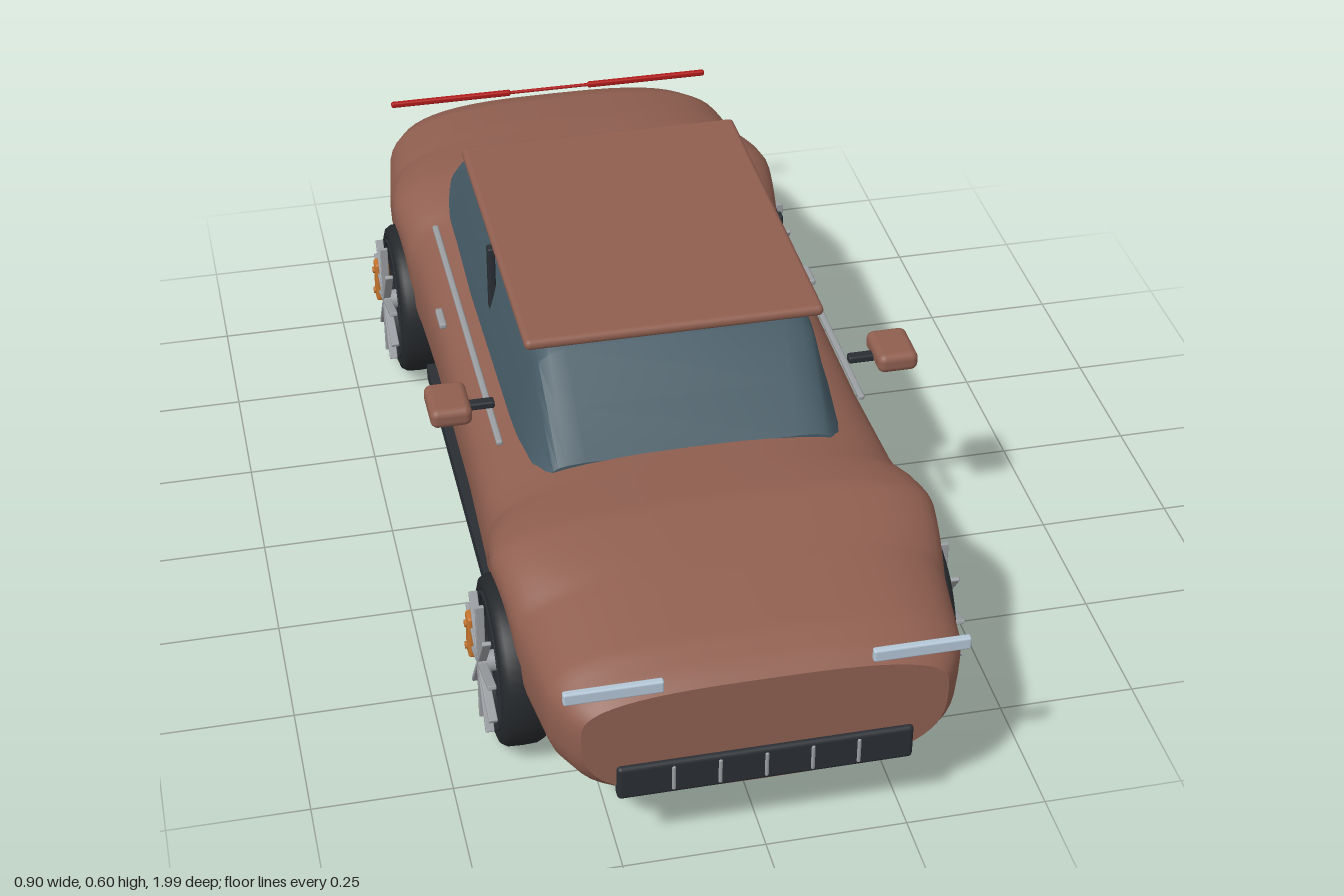
import * as THREE from 'three';
import { toCreasedNormals } from 'three/addons/utils/BufferGeometryUtils.js';
import { RoundedBoxGeometry } from 'three/addons/geometries/RoundedBoxGeometry.js';

const mat = (color, side = THREE.FrontSide) => new THREE.MeshStandardMaterial({ color, side });
const PAINT = mat(0x8f5f50), GLASS = mat(0x465b66), DARK = mat(0x2a2e33), TYRE = mat(0x25282b);
const CHROME = mat(0x9a9da1), LAMP = mat(0xb4c6d6), RED = mat(0xb01a1a), ORANGE = mat(0xc4732c);

const WHEEL_R = 0.155, AXLES = [0.605, -0.585];

function add(parent, name, geometry, material, x = 0, y = 0, z = 0) {
  const mesh = new THREE.Mesh(geometry, material);
  mesh.name = name;
  mesh.position.set(x, y, z);
  parent.add(mesh);
  return mesh;
}

const box = (w, h, d, r = 0.004) => new RoundedBoxGeometry(w, h, d, 3, Math.min(r, w / 2.01, h / 2.01, d / 2.01));

// Linear lookup of column k in rows sorted by falling z
function lookup(rows, z, k) {
  let i = 0;
  while (i < rows.length - 2 && z < rows[i + 1][0]) i++;
  const a = rows[i], b = rows[i + 1];
  return THREE.MathUtils.mapLinear(z, a[0], b[0], a[k], b[k]);
}

// Skin over closed rings (counter-clockwise seen from +z, z falling), ends capped
function loft(rings, crease) {
  const n = rings[0].length, pos = [], index = [];
  const collapse = (ring) => {
    const c = ring.reduce((s, p) => s.add(p), new THREE.Vector3()).divideScalar(n);
    return ring.map(() => c);
  };
  const all = [collapse(rings[0]), ...rings, collapse(rings[rings.length - 1])];
  all.forEach((ring) => ring.forEach((p) => pos.push(p.x, p.y, p.z)));
  for (let i = 0; i < all.length - 1; i++) {
    for (let j = 0; j < n; j++) {
      const a = i * n + j, b = i * n + (j + 1) % n, c = a + n, d = b + n;
      if (i < all.length - 2) index.push(a, c, d);
      if (i > 0) index.push(a, d, b);
    }
  }
  const g = new THREE.BufferGeometry();
  g.setAttribute('position', new THREE.Float32BufferAttribute(pos, 3));
  g.setIndex(index);
  return toCreasedNormals(g, crease);
}

// Body: [z, half width, bottom, top], with full-width wheel arches lifting the floor
function bodyGeometry() {
  const keys = [
    [0.98, 0.315, 0.135, 0.355], [0.955, 0.335, 0.115, 0.372], [0.9, 0.36, 0.102, 0.393],
    [0.76, 0.378, 0.106, 0.42], [0.6, 0.398, 0.1, 0.445], [0.42, 0.38, 0.1, 0.428],
    [0.2, 0.374, 0.1, 0.42], [-0.2, 0.374, 0.1, 0.425], [-0.4, 0.38, 0.1, 0.445],
    [-0.58, 0.398, 0.1, 0.465], [-0.75, 0.383, 0.115, 0.447], [-0.88, 0.365, 0.115, 0.427],
    [-0.935, 0.34, 0.122, 0.405], [-0.96, 0.318, 0.14, 0.385],
  ];
  const rings = [], rows = 150, n = 52, R = 0.168;
  for (let i = 0; i <= rows; i++) {
    const z = THREE.MathUtils.lerp(0.98, -0.96, i / rows);
    const w = lookup(keys, z, 1), top = lookup(keys, z, 3);
    let bottom = lookup(keys, z, 2);
    for (const zc of AXLES) {
      const d = Math.abs(z - zc);
      if (d < R) bottom = Math.max(bottom, WHEEL_R + Math.sqrt(R * R - d * d));
    }
    const mid = Math.max(0.28, bottom + 0.025);
    const ring = [];
    for (let j = 0; j < n; j++) {
      const t = (j / n) * Math.PI * 2, c = Math.cos(t), s = Math.sin(t);
      const px = Math.sign(c) * Math.abs(c) ** (2 / 3), py = Math.sign(s) * Math.abs(s) ** (2 / 3);
      ring.push(new THREE.Vector3(w * px, mid + py * (s > 0 ? top - mid : mid - bottom), z));
    }
    rings.push(ring);
  }
  return loft(rings, 0.75);
}

// Glasshouse: [z, half width, top]
function cabinGeometry() {
  const base = 0.37;
  const keys = [
    [0.425, 0.288, 0.425], [0.36, 0.292, 0.5], [0.285, 0.296, 0.575], [0.25, 0.297, 0.587],
    [-0.38, 0.303, 0.587], [-0.43, 0.305, 0.575], [-0.51, 0.307, 0.525], [-0.575, 0.309, 0.462],
  ];
  const half = [[1, 0], [0.97, 0.3], [0.92, 0.55], [0.88, 0.8], [0.85, 0.9], [0.79, 0.965], [0.68, 1]];
  return loft(keys.map(([z, w, top]) => {
    const side = (s) => half.map(([x, y]) => new THREE.Vector3(s * w * x, base + y * (top - base), z));
    return [...side(1), ...side(-1).reverse()];
  }), 0.6);
}

// Wheel with its outer face towards +x
function wheel() {
  const g = new THREE.Group();
  const profile = [[0.118, -0.04], [0.135, -0.046], [0.147, -0.04], [0.154, -0.025], [0.155, 0],
    [0.154, 0.025], [0.147, 0.036], [0.135, 0.04], [0.12, 0.036], [0.116, 0.02]];
  const tyre = new THREE.LatheGeometry(profile.map(([r, y]) => new THREE.Vector2(r, y)), 48);
  add(g, 'tyre', tyre.rotateZ(-Math.PI / 2), mat(0x25282b, THREE.DoubleSide));
  add(g, 'rimBarrel', new THREE.CylinderGeometry(0.119, 0.119, 0.05, 40).rotateZ(-Math.PI / 2), DARK, -0.002);
  add(g, 'rimRing', new THREE.TorusGeometry(0.121, 0.005, 8, 48).rotateY(Math.PI / 2), DARK, 0.036);
  add(g, 'hub', new THREE.CylinderGeometry(0.018, 0.02, 0.05, 20).rotateZ(-Math.PI / 2), CHROME, 0.034);
  for (let i = 0; i < 10; i++) {
    const spoke = new THREE.Group();
    spoke.name = 'spoke';
    spoke.rotation.x = (i / 10) * Math.PI * 2;
    add(spoke, 'spokeBar', box(0.016, 0.112, 0.008, 0.002), CHROME, 0.052, 0.069, 0);
    g.add(spoke);
  }
  // Brake caliper, always behind the axle
  add(g, 'caliper', box(0.03, 0.09, 0.032, 0.006), ORANGE, 0.05, 0, -0.08);
  for (const y of [-0.025, 0.025]) {
    add(g, 'caliperBolt', new THREE.CylinderGeometry(0.007, 0.007, 0.006, 10).rotateZ(Math.PI / 2), ORANGE, 0.066, y, -0.08);
  }
  return g;
}

export function createModel() {
  const car = new THREE.Group();
  car.name = 'car';
  add(car, 'body', bodyGeometry(), PAINT);
  add(car, 'cabinGlass', cabinGeometry(), GLASS);
  add(car, 'roof', box(0.55, 0.021, 0.705, 0.01), PAINT, 0, 0.59, -0.067);

  for (const s of [1, -1]) {
    // Wheels
    AXLES.forEach((z, i) => {
      const w = wheel();
      w.name = (i ? 'rear' : 'front') + 'Wheel';
      w.position.set(s * 0.369, WHEEL_R, z);
      // Mirror across x, with winding handled by the negative scale
      w.scale.x = s;
      car.add(w);
    });

    // Side trim
    add(car, 'doorPillar', box(0.014, 0.155, 0.022), DARK, s * 0.278, 0.512, -0.06);
    add(car, 'windowTrim', box(0.012, 0.01, 0.75), CHROME, s * 0.335, 0.431, -0.03);
    add(car, 'doorHandle', box(0.014, 0.012, 0.06), CHROME, s * 0.366, 0.385, -0.145);
    add(car, 'sideSill', box(0.04, 0.036, 0.73), DARK, s * 0.352, 0.118, 0.005);

    // Mirrors
    add(car, 'mirrorArm', box(0.06, 0.014, 0.02), DARK, s * 0.36, 0.464, 0.262);
    add(car, 'mirror', box(0.076, 0.038, 0.1, 0.014), PAINT, s * 0.414, 0.471, 0.262);

    // Lamps and exhausts
    add(car, 'headlight', box(0.168, 0.024, 0.014), LAMP, s * 0.261, 0.377, 0.984);
    add(car, 'tailLight', box(0.26, 0.012, 0.012), RED, s * 0.215, 0.402, -0.962);
    add(car, 'exhaustTip', box(0.04, 0.024, 0.03), CHROME, s * 0.26, 0.148, -0.981);
  }

  // Front grille with upright slats
  add(car, 'grille', box(0.512, 0.068, 0.024, 0.008), DARK, 0, 0.175, 0.978);
  for (let i = -2; i <= 2; i++) {
    add(car, 'grilleSlat', box(0.007, 0.052, 0.008), CHROME, i * 0.08, 0.175, 0.989);
    add(car, 'diffuserFin', box(0.008, 0.034, 0.165), DARK, i * 0.119, 0.097, -0.907);
  }

  // Rear bumper, light strip and plate
  add(car, 'rearBumper', box(0.59, 0.056, 0.078, 0.006), DARK, 0, 0.128, -0.961);
  add(car, 'diffuserPlate', box(0.55, 0.016, 0.16), DARK, 0, 0.107, -0.905);
  add(car, 'lightStrip', box(0.18, 0.006, 0.008), RED, 0, 0.402, -0.962);
  add(car, 'numberPlate', box(0.11, 0.044, 0.012), CHROME, 0, 0.242, -0.964);
  return car;
}
